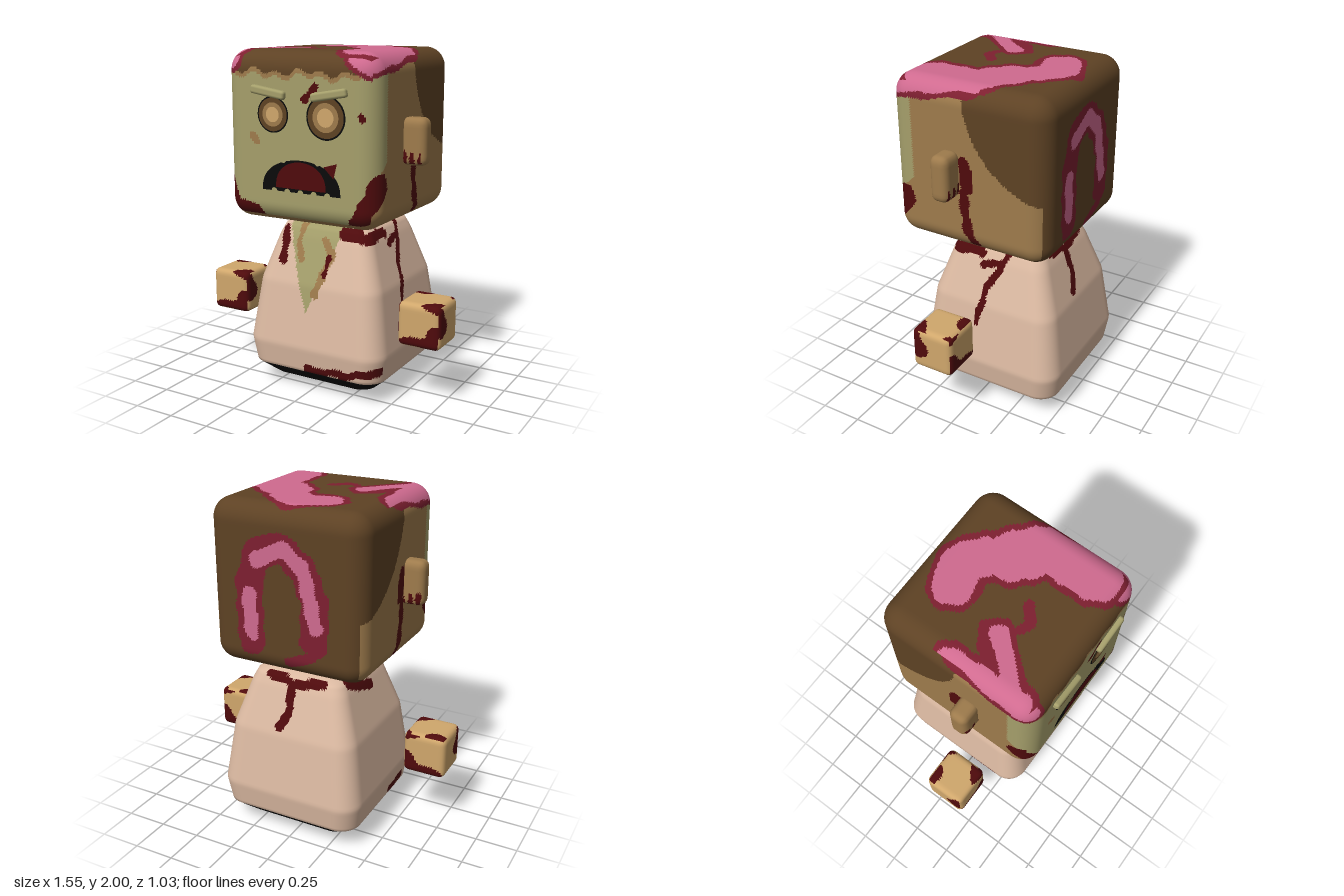
import * as THREE from 'three';
import { mergeVertices } from 'three/addons/utils/BufferGeometryUtils.js';
import { RoundedBoxGeometry } from 'three/addons/geometries/RoundedBoxGeometry.js';

const flat = (name, color) => Object.assign(new THREE.MeshStandardMaterial({ color }), { name });
const green = flat('olive skin', 0xa59f6b), tan = flat('tan skin', 0x9e7b4c), brown = flat('dark hair', 0x5e4224),
  pink = flat('pink brain', 0xcf6a8f), crimson = flat('crimson rim', 0x7d1f30), blood = flat('dark blood', 0x4f0a0c),
  cloth = flat('pale cloth', 0xdcbaa2), black = flat('black', 0x0b0b0b), sand = flat('sand skin', 0xd0a76c);

// Faces in the order of BoxGeometry; sides read (z, y), top and bottom (x, z), front and back (x, y)
const [L, R, TOP, BOTTOM, FRONT, BACK] = Array(6).keys();
const SIDES = [L, R], ENDS = [FRONT, BACK], CAPS = [TOP, BOTTOM];

// Distance from a point to a path
function distance(pts, u, v) {
  return Math.min(...pts.map(([bx, by], i) => {
    const [ax, ay] = pts[Math.max(i - 1, 0)], dx = bx - ax, dy = by - ay;
    const t = THREE.MathUtils.clamp(((u - ax) * dx + (v - ay) * dy) / (dx * dx + dy * dy || 1), 0, 1);
    return Math.hypot(u - ax - t * dx, v - ay - t * dy);
  }));
}

// Paint layers: area by rule, brush stroke, and rimmed brain tissue
const area = (faces, mat, test) => ({ faces, mat, test });
const whole = (faces, mat) => area(faces, mat, () => true);
const stroke = (faces, mat, w, ...pts) =>
  area(faces, mat, (u, v) => distance(pts, u, v) < w + 0.006 * Math.sin(31 * u + 43 * v));
const brain = (faces, rim, ...paths) => [
  ...paths.map(([w, ...pts]) => stroke(faces, crimson, w + rim, ...pts)),
  ...paths.map(([w, ...pts]) => stroke(faces, pink, w, ...pts)),
];

// Gridded box whose vertices are moved by warp and whose cells take the last matching layer
function paintedBox(name, seg, warp, base, layers) {
  let geo = new THREE.BoxGeometry(1, 1, 1, seg, seg, seg);
  geo.deleteAttribute('uv');
  geo.deleteAttribute('normal');
  geo = mergeVertices(geo);
  const pos = geo.attributes.position, p = new THREE.Vector3(), c = new THREE.Vector3();
  for (let i = 0; i < pos.count; i++) {
    warp(p.fromBufferAttribute(pos, i));
    pos.setXYZ(i, p.x, p.y, p.z);
  }
  geo.computeVertexNormals();
  const buckets = new Map(), idx = geo.index.array;
  for (let i = 0; i < idx.length; i += 3) {
    const face = Math.floor(i / (6 * seg * seg));
    c.set(0, 0, 0);
    for (let k = 0; k < 3; k++) c.add(p.fromBufferAttribute(pos, idx[i + k]));
    c.divideScalar(3);
    const [u, v] = face <= R ? [c.z, c.y] : face <= BOTTOM ? [c.x, c.z] : [c.x, c.y];
    const layer = layers.findLast((l) => l.faces.includes(face) && l.test(u, v));
    const mat = layer ? layer.mat : base;
    if (!buckets.has(mat)) buckets.set(mat, []);
    buckets.get(mat).push(idx[i], idx[i + 1], idx[i + 2]);
  }
  geo.clearGroups();
  const index = [], mats = [];
  for (const [mat, list] of buckets) {
    geo.addGroup(index.length, list.length, mats.length);
    mats.push(mat);
    for (const n of list) index.push(n);
  }
  geo.setIndex(index);
  const mesh = new THREE.Mesh(geo, mats);
  mesh.name = name;
  return mesh;
}

// Warp a unit box into a rounded box of the given size
function rounding(w, h, d, r) {
  const max = new THREE.Vector3(w / 2 - r, h / 2 - r, d / 2 - r), min = max.clone().negate(), inner = new THREE.Vector3();
  return (p) => {
    p.set(p.x * w, p.y * h, p.z * d);
    inner.copy(p).clamp(min, max);
    p.sub(inner).setLength(r).add(inner);
  };
}

function makeHead() {
  const round = rounding(0.956, 0.95, 0.962, 0.115), offset = new THREE.Vector3(0.024, 1.525, 0.009);
  const hairline = (u) => 1.885 + 0.014 * Math.sin(44 * u) + 0.01 * Math.sin(19 * u);
  const sides = [
    area(SIDES, green, (u, v) => u > 0.35 + Math.max(0, 1.43 - v)),
    area(SIDES, brown, (u, v) => Math.hypot(u + 0.54, v - 1.98) < 0.57),
    ...brain(SIDES, 0.03, [0.06, [0.5, 1.95], [0.25, 1.99], [0, 2.03]]),
    stroke(SIDES, blood, 0.04, [0.02, 1.57], [0, 1.44]),
    stroke(SIDES, blood, 0.03, [0.03, 1.4], [0.01, 1.2], [-0.03, 1.1]),
    stroke(SIDES, blood, 0.065, [0.41, 1.3], [0.5, 1.2]),
  ];
  const front = [
    whole([FRONT], green),
    area([FRONT], tan, (u, v) => v > hairline(u) - 0.025),
    area([FRONT], brown, (u, v) => v > hairline(u)),
    ...brain([FRONT], 0.03, [0.085, [-0.44, 1.97]], [0.08, [0.4, 2], [0.5, 1.95]]),
    stroke([FRONT], blood, 0.05, [-0.46, 1.28], [-0.4, 1.11], [-0.26, 1.1]),
    stroke([FRONT], blood, 0.06, [0.52, 1.31], [0.46, 1.18], [0.4, 1.08]),
    stroke([FRONT], blood, 0.02, [0.08, 1.75], [0.14, 1.81]),
    stroke([FRONT], blood, 0.016, [0.42, 1.68], [0.43, 1.66]),
    stroke([FRONT], tan, 0.02, [-0.26, 1.53], [-0.24, 1.5]),
  ];
  const topAndBack = [
    whole([TOP, BACK], brown),
    area([BOTTOM], brown, (u, v) => v < -0.38),
    ...brain([TOP], 0.035,
      [0.11, [-0.1, -0.24], [0.03, -0.28], [0.12, -0.21]],
      [0.14, [0.2, -0.1], [0.36, 0.04], [0.36, 0.3]],
      [0.06, [-0.42, -0.03], [-0.4, 0.38]],
      [0.045, [-0.38, 0.33], [-0.17, 0.09]]),
    stroke([TOP], crimson, 0.025, [-0.31, 0.15], [-0.28, 0.06], [-0.18, 0.01]),
    stroke([TOP], crimson, 0.03, [-0.1, 0.17], [-0.04, 0.18], [0.03, 0.12]),
    stroke([BACK], crimson, 0.085, [0.23, 1.22], [0.24, 1.55], [0.18, 1.73], [0.03, 1.78], [-0.1, 1.68], [-0.17, 1.5], [-0.16, 1.28]),
    stroke([BACK], crimson, 0.03, [-0.15, 1.2], [0, 1.13]),
    stroke([BACK], pink, 0.045, [0.23, 1.27], [0.24, 1.5]),
    stroke([BACK], pink, 0.045, [0.19, 1.7], [0.03, 1.78], [-0.1, 1.68], [-0.17, 1.37]),
  ];
  return paintedBox('head', 72, (p) => { round(p); p.add(offset); }, tan, [...sides, ...front, ...topAndBack]);
}

function makeBody() {
  // Height and half width from the sole to the neck
  const profile = [[0, 0.18], [0.05, 0.335], [0.134, 0.43], [0.28, 0.452], [0.65, 0.4], [0.92, 0.31], [0.99, 0.277], [1.01, 0.18]];
  const r = 0.14, warp = (p) => {
    const y = (p.y + 0.5) * 1.01, k = Math.max(1, profile.findIndex(([h]) => h >= y - 1e-6));
    const [y0, w0] = profile[k - 1], [y1, w1] = profile[k];
    const w = 2 * THREE.MathUtils.mapLinear(y, y0, y1, w0, w1);
    const ix = THREE.MathUtils.clamp(p.x, r - 0.5, 0.5 - r), iz = THREE.MathUtils.clamp(p.z, r - 0.5, 0.5 - r);
    const s = Math.min(1, r / (Math.hypot(p.x - ix, p.z - iz) || 1));
    p.set((ix + (p.x - ix) * s) * w + 0.025, y, (iz + (p.z - iz) * s) * w - 0.063);
  };
  // Open collar with drips, then stains
  const front = [
    area([FRONT], green, (u, v) => v > 0.49 + 2.75 * Math.abs(u + 0.01)),
    stroke([FRONT], tan, 0.018, [-0.1, 0.98], [-0.11, 0.9], [-0.08, 0.79]),
    stroke([FRONT], tan, 0.022, [0.06, 0.92], [0.12, 0.85], [0.04, 0.61]),
    stroke([FRONT], blood, 0.015, [0.1, 0.82], [0.09, 0.73]),
    stroke([FRONT], blood, 0.026, [-0.21, 0.95], [-0.2, 0.78]),
    stroke([FRONT], blood, 0.035, [0.18, 0.97], [0.33, 0.94]),
    stroke([FRONT], blood, 0.024, [0, 0.15], [0.28, 0.17], [0.44, 0.21]),
  ];
  const around = [
    stroke([L], blood, 0.03, [0.23, 0.94], [0.03, 0.95]),
    stroke([L], blood, 0.02, [-0.15, 0.98], [-0.04, 0.76], [0.01, 0.53]),
    stroke([L], blood, 0.022, [-0.12, 0.92], [0, 0.88]),
    stroke([L], blood, 0.03, [0.4, 0.2], [0.31, 0.2]),
    stroke([R], blood, 0.03, [-0.25, 0.97], [-0.03, 0.88]),
    stroke([R], blood, 0.03, [0.05, 0.16], [0.2, 0.17]),
    stroke([BACK], blood, 0.024, [0.2, 0.98], [0.05, 0.95], [-0.16, 0.97]),
    stroke([BACK], blood, 0.026, [0.05, 0.95], [0.03, 0.82], [0.08, 0.7]),
    area([...SIDES, ...ENDS], black, (u, v) => v < 0.1346),
    whole([BOTTOM], black),
  ];
  return paintedBox('body', 60, warp, cloth, [...front, ...around]);
}

function makeHand(name, x) {
  const hand = paintedBox(name, 18, rounding(0.26, 0.26, 0.26, 0.035), sand, [
    stroke(ENDS, blood, 0.05, [0.12, -0.03], [0.07, -0.1], [-0.09, -0.13]),
    stroke(ENDS, blood, 0.02, [0.04, 0.13], [0.13, 0.11]),
    stroke(SIDES, blood, 0.055, [0.11, 0.06], [0.08, 0]),
    stroke(CAPS, blood, 0.06, [-0.13, -0.13], [-0.06, -0.13]),
    stroke(CAPS, blood, 0.06, [0.13, 0.09], [0.07, 0.13]),
    stroke(CAPS, blood, 0.04, [0.12, -0.12]),
  ]);
  hand.position.set(x, 0.49, 0.1);
  return hand;
}

function makeEar(name, x) {
  const drips = [-0.045, 0, 0.045].map((u) => stroke(ENDS, blood, 0.011, [u, -0.06], [u, -0.14]));
  const ear = paintedBox(name, 14, rounding(0.15, 0.265, 0.11, 0.04), tan, drips);
  ear.position.set(x, 1.51, 0.105);
  return ear;
}

export function createModel() {
  const model = new THREE.Group();
  const add = (name, geo, mat, x, y, z) => {
    const mesh = new THREE.Mesh(geo, mat);
    mesh.name = name;
    mesh.position.set(x, y, z);
    model.add(mesh);
    return mesh;
  };
  model.add(makeHead(), makeBody(), makeHand('leftHand', 0.645), makeHand('rightHand', -0.65),
    makeEar('leftEar', 0.555), makeEar('rightEar', -0.495));

  // Eyes and slanted brows
  for (const [side, x, r, browX, tilt] of [['right', -0.125, 0.1, -0.15, -0.15], ['left', 0.21, 0.12, 0.233, 0.17]]) {
    [['Rim', black, 1], ['Iris', brown, 0.92], ['Ring', tan, 0.66], ['Pupil', sand, 0.42]].forEach(([part, mat, k], i) =>
      add(side + 'Eye' + part, new THREE.CircleGeometry(r * k, 32), mat, x, 1.655, 0.492 + i * 0.0015));
    add(side + 'Brow', new RoundedBoxGeometry(0.22, 0.048, 0.045, 2, 0.015), green, browX, 1.775, 0.496).rotation.z = tilt;
  }

  // Growling mouth: two domes, a stain and small teeth
  const dome = (name, mat, w, h, y, z) => {
    const pts = Array.from({ length: 25 }, (_, i) => {
      const a = (i / 24) * Math.PI;
      return new THREE.Vector2(w * Math.cos(a), h * Math.max(0, Math.sin(a)) ** 0.8);
    });
    add(name, new THREE.ShapeGeometry(new THREE.Shape(pts)), mat, 0.05, y, z);
  };
  dome('mouthRim', black, 0.25, 0.18, 1.235, 0.492);
  dome('mouthInside', blood, 0.16, 0.15, 1.255, 0.4935);
  add('mouthStain', new THREE.CircleGeometry(0.05, 3, 0.8), blood, 0.245, 1.38, 0.495);
  for (let i = 0; i < 5; i++)
    add('lowerTooth', new THREE.CircleGeometry(0.019, 12, 0, Math.PI), green, -0.12 + i * 0.085, 1.234, 0.495);
  for (const x of [-0.06, 0.16])
    add('upperTooth', new THREE.CircleGeometry(0.019, 12, Math.PI, Math.PI), green, x, 1.413, 0.495);
  return model;
}
